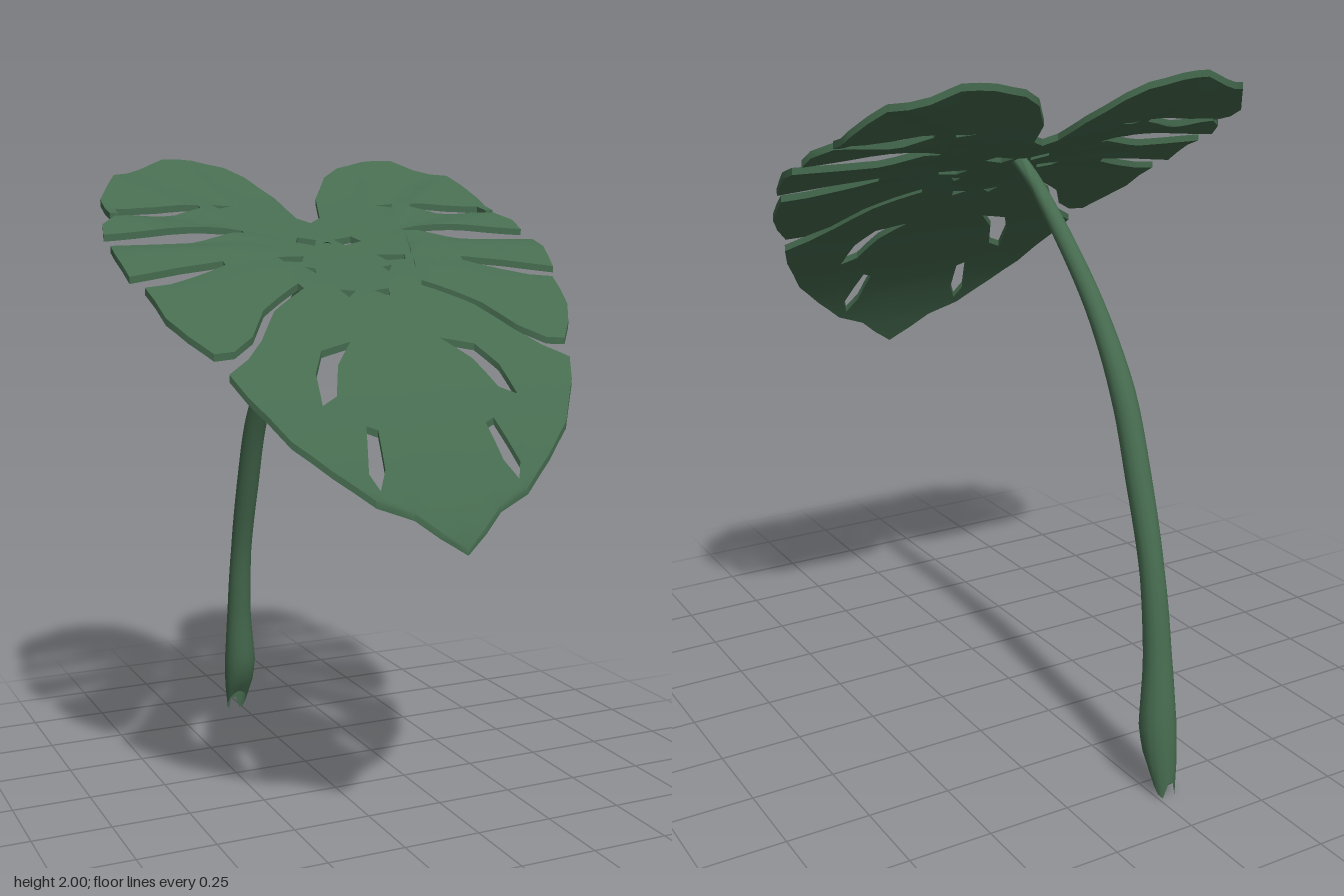
import * as THREE from 'three';
import { toCreasedNormals } from 'three/addons/utils/BufferGeometryUtils.js';

const { clamp, lerp } = THREE.MathUtils;

// Right half of the leaf rim as [x, z], from the notch round the lobes and slits to the tip
const RIM = [
  [0, -0.19], [0.04, -0.21], [0.07, -0.31], [0.14, -0.40], [0.20, -0.43], [0.30, -0.45], [0.40, -0.44],
  [0.48, -0.42], [0.58, -0.37], [0.65, -0.28], [0.65, -0.18], [0.625, -0.18], [0.62, -0.23], [0.54, -0.235],
  [0.36, -0.22], [0.36, -0.205], [0.53, -0.18], [0.64, -0.16], [0.69, -0.12],
  [0.70, -0.08], [0.50, -0.09], [0.27, -0.09], [0.27, -0.07], [0.45, -0.03], [0.70, -0.01],
  [0.705, 0.05], [0.69, 0.135], [0.62, 0.12], [0.53, 0.10], [0.39, 0.075], [0.39, 0.09], [0.50, 0.14], [0.58, 0.17],
  [0.66, 0.18], [0.64, 0.30], [0.60, 0.37], [0.55, 0.43], [0.49, 0.425], [0.42, 0.38], [0.35, 0.285], [0.20, 0.18],
  [0.19, 0.20], [0.32, 0.29], [0.40, 0.395], [0.46, 0.45], [0.53, 0.49], [0.50, 0.55], [0.42, 0.65], [0.33, 0.71],
  [0.23, 0.765], [0.13, 0.79], [0.07, 0.82], [0, 0.848],
];

// Holes in the right half, mirrored to the left
const HOLES = [
  [[0.14, 0.41], [0.24, 0.435], [0.285, 0.5], [0.30, 0.58], [0.25, 0.56], [0.21, 0.48]],
  [[0.165, 0.64], [0.195, 0.63], [0.23, 0.72], [0.21, 0.75], [0.18, 0.715]],
  [[0.03, -0.08], [0.09, -0.085], [0.11, -0.05], [0.05, -0.04]],
  [[0.12, 0.035], [0.21, 0.05], [0.20, 0.075], [0.14, 0.07]],
  [[0.03, 0.21], [0.08, 0.205], [0.065, 0.24]],
  [[0.11, 0.10], [0.145, 0.095], [0.12, 0.125]],
  [[0.24, -0.24], [0.31, -0.24], [0.295, -0.215]],
];

// Height of the arched leaf, with lifted sides and arched back lobes
function leafHeight(x, z) {
  const side = Math.abs(x);
  const back = clamp((0.3 - z) / 0.3, 0, 1);
  const lift = 0.035 * Math.min(1, side / 0.3) * back;
  const ripple = -0.01 * Math.cos(20 * (Math.atan2(z, side) + 0.07)) * clamp((side - 0.15) / 0.3, 0, 1) * back;
  return 1.7 - 0.4424 * z - 0.0075 * z * z - 0.576 * z ** 3 + lift + ripple;
}

// Halve the longest edge until every triangle is small enough to bend
function split(a, b, c, max, out) {
  const ab = a.distanceTo(b), bc = b.distanceTo(c), ca = c.distanceTo(a);
  const longest = Math.max(ab, bc, ca);
  if (longest < max) {
    out.push(a.clone(), b.clone(), c.clone());
    return;
  }
  if (longest === bc) [a, b, c] = [b, c, a];
  else if (longest === ca) [a, b, c] = [c, a, b];
  const m = a.clone().add(b).multiplyScalar(0.5);
  split(a, m, c, max, out);
  split(m, b, c, max, out);
}

function leafGeometry() {
  const point = (s) => ([x, z]) => new THREE.Vector2(s * x, -z);
  const left = RIM.slice(1, -1).reverse().map(point(-1));
  const shape = new THREE.Shape([...RIM.map(point(1)), ...left]);
  for (const s of [1, -1]) {
    for (const hole of HOLES) shape.holes.push(new THREE.Path(hole.map(point(s))));
  }
  const flat = new THREE.ExtrudeGeometry(shape, { depth: 0.02, bevelEnabled: false });
  flat.rotateX(-Math.PI / 2);
  const pos = flat.attributes.position;
  const v = (i) => new THREE.Vector3().fromBufferAttribute(pos, i);
  const out = [];
  for (let i = 0; i < pos.count; i += 3) split(v(i), v(i + 1), v(i + 2), 0.07, out);
  for (const p of out) p.y += leafHeight(p.x, p.z);
  return toCreasedNormals(new THREE.BufferGeometry().setFromPoints(out), 0.7);
}

// Stem path with radius: x, y, z, r
const STEM = [
  [0, 1.735, -0.05, 0.022], [-0.005, 1.69, -0.12, 0.022], [-0.02, 1.55, -0.26, 0.026],
  [-0.04, 1.35, -0.42, 0.03], [-0.05, 1.13, -0.55, 0.037], [-0.048, 0.9, -0.64, 0.038],
  [-0.045, 0.65, -0.72, 0.036], [-0.04, 0.4, -0.765, 0.042], [-0.03, 0.2, -0.79, 0.056],
  [-0.03, 0.11, -0.805, 0.05], [-0.032, 0.035, -0.823, 0.034],
];

function stemRadius(y) {
  let i = 0;
  while (i < STEM.length - 2 && y < STEM[i + 1][1]) i++;
  const a = STEM[i], b = STEM[i + 1];
  return lerp(a[3], b[3], clamp((a[1] - y) / (a[1] - b[1]), 0, 1));
}

function stemGeometry() {
  const curve = new THREE.CatmullRomCurve3(STEM.map(([x, y, z]) => new THREE.Vector3(x, y, z)));
  const rings = 44, sides = 14;
  const geo = new THREE.TubeGeometry(curve, rings, 1, sides);
  const pos = geo.attributes.position;
  const p = new THREE.Vector3();
  for (let i = 0; i < pos.count; i++) {
    const ring = Math.floor(i / (sides + 1));
    const c = curve.getPointAt(ring / rings);
    const d = p.fromBufferAttribute(pos, i).sub(c).clone();
    p.copy(d).multiplyScalar(stemRadius(c.y)).add(c);
    // Slanted, notched cut at the foot
    const s = clamp((0.25 - c.y) / 0.215, 0, 1);
    p.y += s * 0.06 * d.z;
    if (ring === rings && d.z < 0 && Math.abs(d.x) < 0.3) p.y += 0.06;
    pos.setXYZ(i, p.x, Math.max(0, p.y), p.z);
  }
  return toCreasedNormals(geo, 0.9);
}

export function createModel() {
  const green = new THREE.MeshStandardMaterial({ color: 0x466b4f, side: THREE.DoubleSide });
  green.name = 'leaf green';

  const leaf = new THREE.Mesh(leafGeometry(), green);
  leaf.name = 'leaf';
  const stem = new THREE.Mesh(stemGeometry(), green);
  stem.name = 'stem';

  const group = new THREE.Group();
  group.name = 'splitLeafPlant';
  group.add(leaf, stem);
  return group;
}
